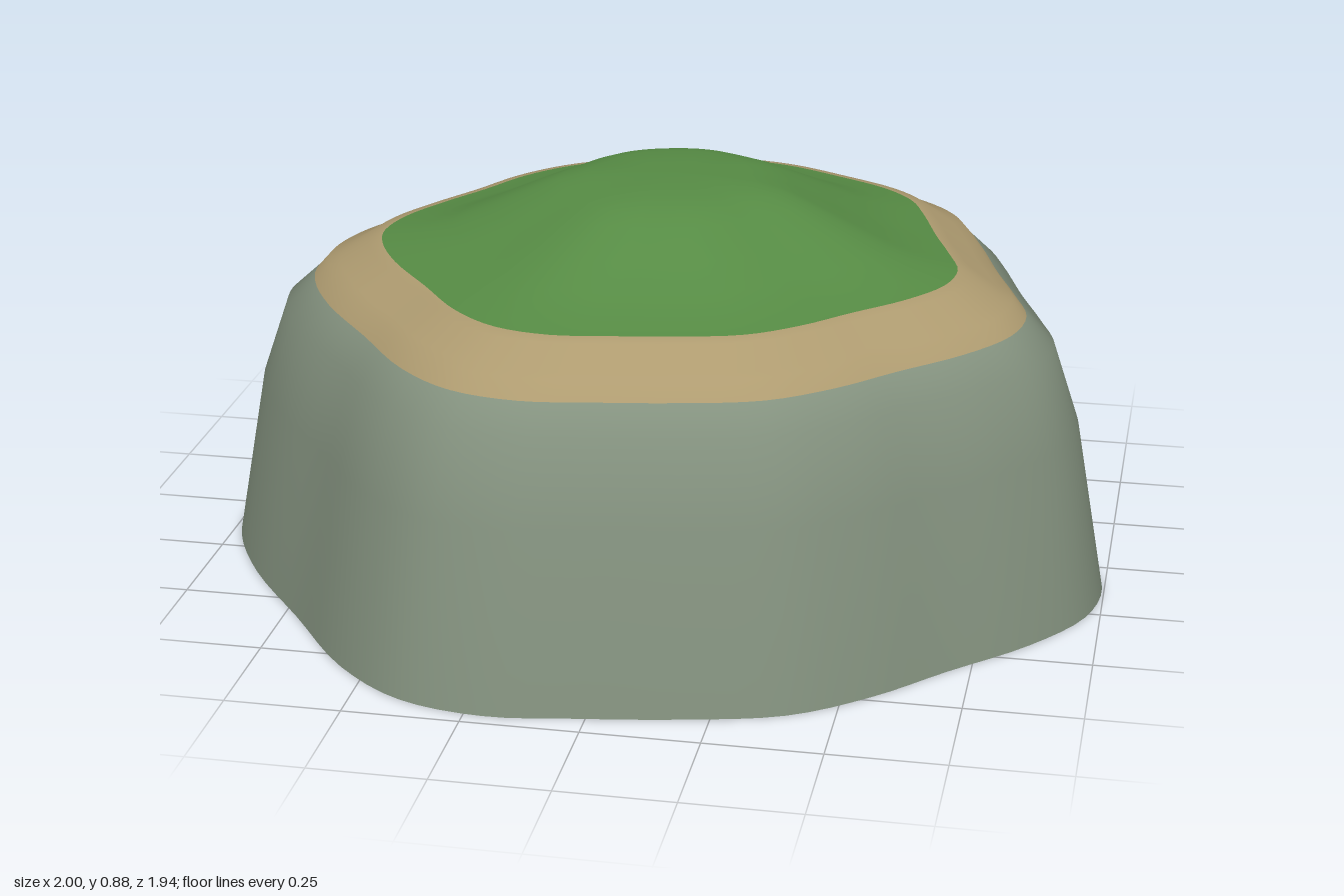
import * as THREE from 'three';

// Wavy shoreline seen from above, as [x, z] points
const OUTLINE = [
  [0.995, 0.11], [0.968, 0.27], [0.861, 0.43], [0.70, 0.59], [0.56, 0.735], [0.40, 0.85],
  [0.19, 0.908], [-0.02, 0.944], [-0.21, 0.968], [-0.396, 0.928], [-0.556, 0.805], [-0.717, 0.591],
  [-0.877, 0.377], [-0.973, 0.19], [-1.0, 0.056], [-0.968, -0.104], [-0.877, -0.281], [-0.77, -0.452],
  [-0.663, -0.639], [-0.529, -0.783], [-0.369, -0.88], [-0.155, -0.949], [0.043, -0.974], [0.246, -0.944],
  [0.46, -0.842], [0.647, -0.73], [0.754, -0.612], [0.815, -0.46], [0.884, -0.238], [0.95, -0.05],
];

// Height profile from the base up to the hilltop, as [outline scale, y]
const PROFILE = [
  [1, 0], [0.93, 0.385], [0.868, 0.565], [0.805, 0.622],
  [0.772, 0.659], [0.745, 0.664], [0.68, 0.706], [0.65, 0.712],
  [0.57, 0.726], [0.49, 0.752], [0.4, 0.793], [0.3, 0.838], [0.25, 0.856], [0.19, 0.869], [0.1, 0.874],
];
const TOP = 0.875;
const SEGMENTS = 120;

export function createModel() {
  const group = new THREE.Group();
  group.name = 'island';

  const curve = new THREE.CatmullRomCurve3(OUTLINE.map(([x, z]) => new THREE.Vector3(x, 0, z)), true);
  const ring = curve.getPoints(SEGMENTS).slice(0, SEGMENTS);

  // One shared skin: scaled copies of the outline stacked along the profile
  const positions = [];
  for (const [s, y] of PROFILE) {
    for (const p of ring) positions.push(p.x * s, y, p.z * s);
  }
  const apex = positions.length / 3;
  positions.push(0, TOP, 0);

  // Triangles between two profile rows
  const band = (from, to) => {
    const index = [];
    for (let r = from; r < to; r++) {
      for (let i = 0; i < SEGMENTS; i++) {
        const n = (i + 1) % SEGMENTS;
        const a = r * SEGMENTS + i, b = r * SEGMENTS + n;
        const c = a + SEGMENTS, d = b + SEGMENTS;
        index.push(a, c, b, b, c, d);
      }
    }
    return index;
  };
  const last = PROFILE.length - 1;
  const cliff = band(0, 3);
  const sand = band(3, 7);
  const grass = band(7, last);
  for (let i = 0; i < SEGMENTS; i++) {
    grass.push(last * SEGMENTS + i, apex, last * SEGMENTS + (i + 1) % SEGMENTS);
  }

  // Smooth normals run across the colour borders
  const skin = new THREE.BufferGeometry();
  skin.setAttribute('position', new THREE.Float32BufferAttribute(positions, 3));
  skin.setIndex([...cliff, ...sand, ...grass]);
  skin.computeVertexNormals();

  const addPart = (name, index, materialName, color) => {
    const geometry = new THREE.BufferGeometry();
    geometry.setAttribute('position', skin.getAttribute('position'));
    geometry.setAttribute('normal', skin.getAttribute('normal'));
    geometry.setIndex(index);
    const material = new THREE.MeshStandardMaterial({ color, side: THREE.DoubleSide });
    material.name = materialName;
    const mesh = new THREE.Mesh(geometry, material);
    mesh.name = name;
    group.add(mesh);
  };
  addPart('cliffWall', cliff, 'stone', 0x84927f);
  addPart('sandRim', sand, 'sand', 0xae9b70);
  addPart('grassHill', grass, 'grass', 0x568b44);
  return group;
}
